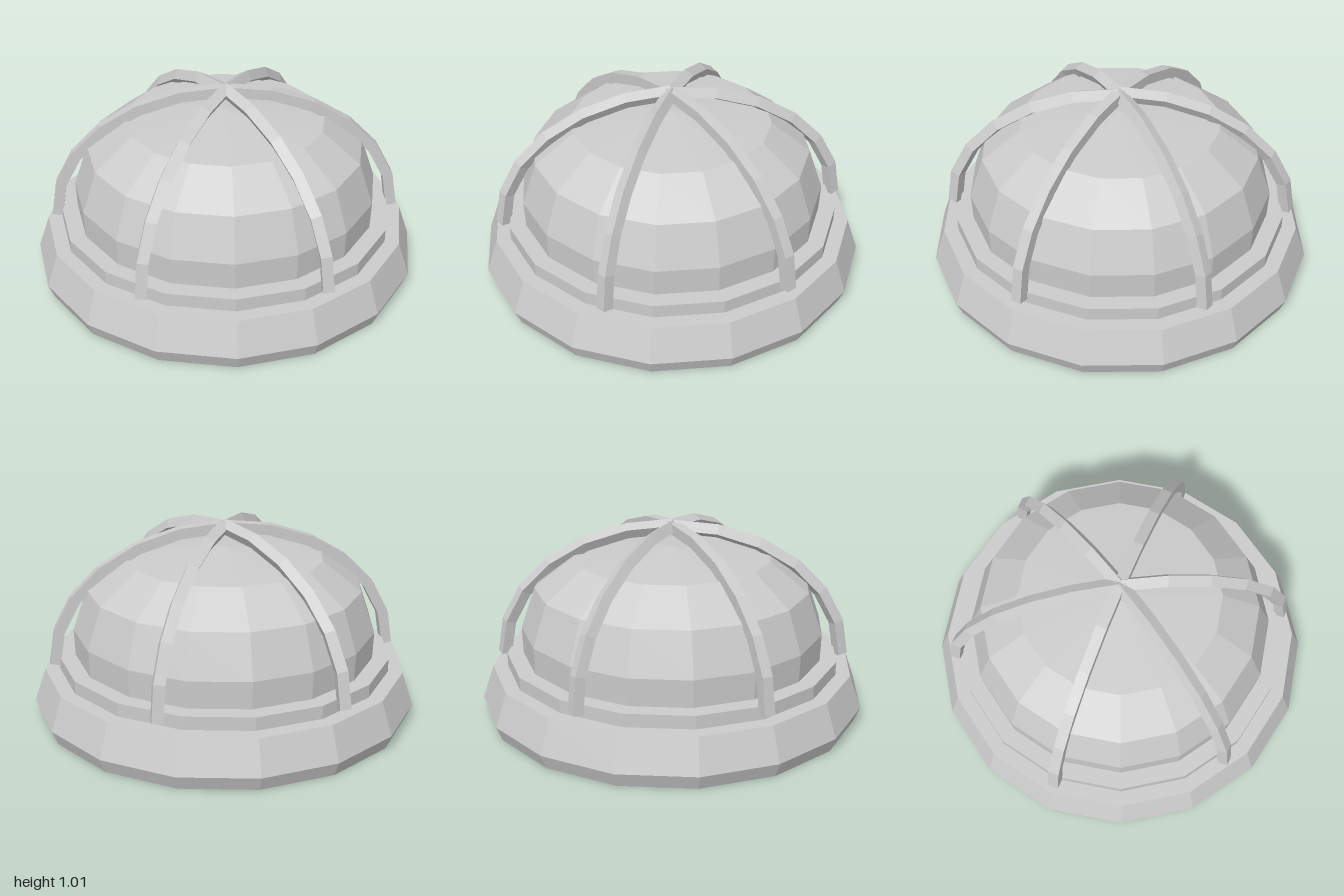
import * as THREE from 'three';

const SIDES = 16;
const material = new THREE.MeshStandardMaterial({ color: 0xcccccc, flatShading: true });

// Faceted solid of revolution from [radius, height] pairs, bottom to top
function turned(name, profile) {
  const points = profile.map(([r, y]) => new THREE.Vector2(r, y));
  const mesh = new THREE.Mesh(new THREE.LatheGeometry(points, SIDES), material);
  mesh.name = name;
  return mesh;
}

// Square bar swept along a quarter ellipse from the base up to the apex
function guardRib(angle) {
  const steps = 6, half = 0.0275;
  const points = [];
  for (let i = 0; i <= steps; i++) {
    const a = (i / steps) * Math.PI / 2;
    const r = 0.887 * Math.cos(a);
    points.push(new THREE.Vector3(r * Math.cos(angle), 0.278 + 0.69 * Math.sin(a), r * Math.sin(angle)));
  }
  const path = new THREE.CatmullRomCurve3(points);
  path.getUtoTmapping = (u) => u; // equal angle steps instead of equal lengths
  const section = new THREE.Shape([
    new THREE.Vector2(-half, -half), new THREE.Vector2(half, -half),
    new THREE.Vector2(half, half), new THREE.Vector2(-half, half),
  ]);
  const geometry = new THREE.ExtrudeGeometry(section, { steps, extrudePath: path, bevelEnabled: false });
  const mesh = new THREE.Mesh(geometry, material);
  mesh.name = 'guardRib';
  return mesh;
}

export function createModel() {
  const model = new THREE.Group();
  model.name = 'cagedDomeLamp';

  // Flared foot, collar and faceted dome
  model.add(turned('base', [[0, 0], [0.97, 0], [1, 0.075], [0.94, 0.247], [0, 0.247]]));
  model.add(turned('collar', [[0, 0.2], [0.865, 0.2], [0.865, 0.315], [0, 0.315]]));
  model.add(turned('dome', [[0.78, 0.3], [0.785, 0.455], [0.71, 0.67], [0.51, 0.82], [0, 0.862]]));

  // Six ribs meeting above the dome
  const cage = new THREE.Group();
  cage.name = 'guardCage';
  for (let i = 0; i < 6; i++) cage.add(guardRib(i * Math.PI / 3));
  model.add(cage);

  return model;
}
